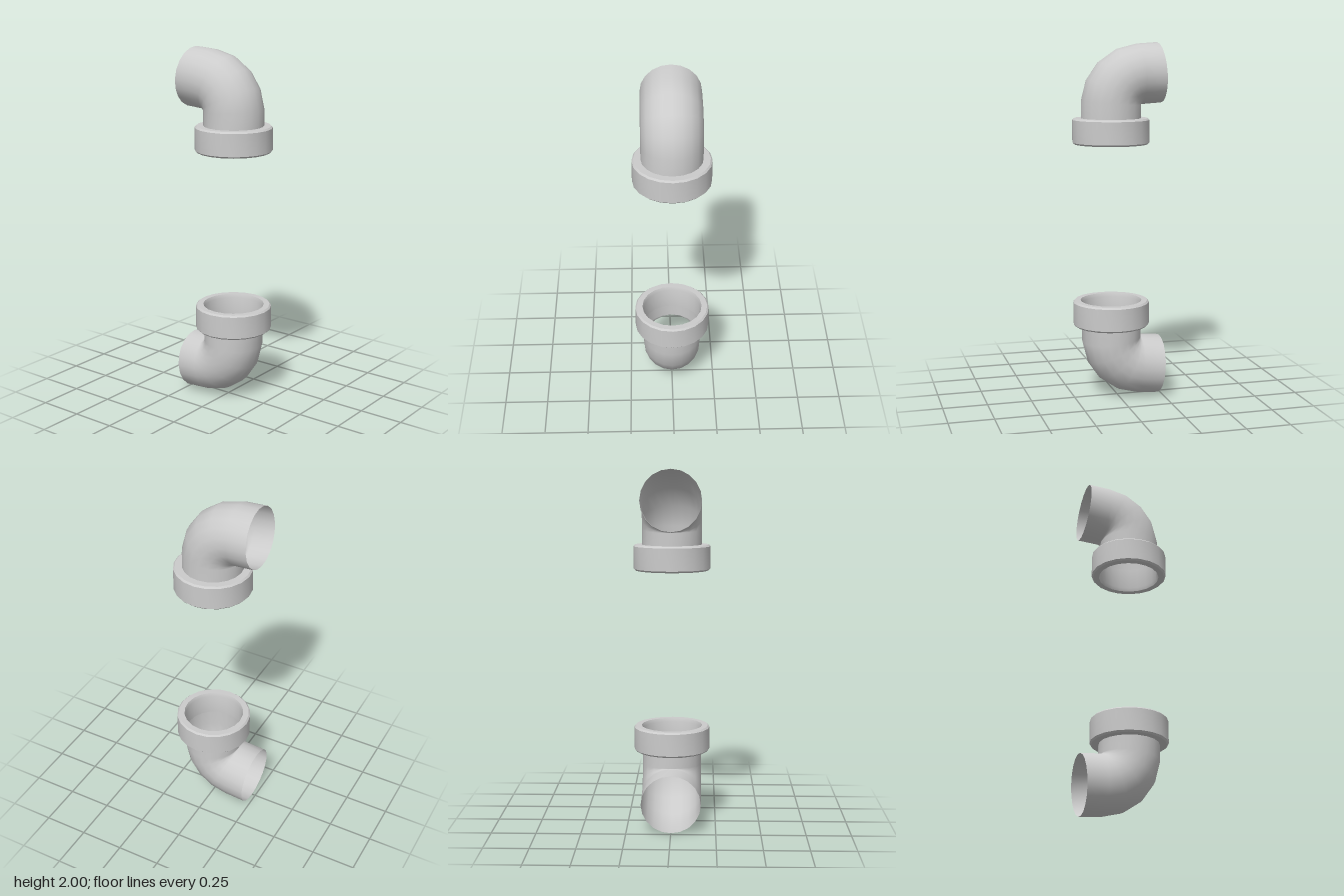
import * as THREE from 'three';
import { toCreasedNormals } from 'three/addons/utils/BufferGeometryUtils.js';

const SIDES = 20;
const PIPE_R = 0.167;
const BEND_R = 0.169;   // radius of the bend's centre line
const BEND_Y = 1.661;   // pivot of the bend
const BEND_Z = -0.134;
const AXIS_Z = BEND_Z + BEND_R;

// Thin pipe swept from rings: straight neck, tight bend, straight outlet
function pipeGeometry() {
  const rad = THREE.MathUtils.degToRad;
  const rings = [[0, -0.13]]; // [bend angle, offset along the pipe]
  for (const deg of [4, 24.5, 45, 65.5, 86]) rings.push([rad(deg), 0]);
  rings.push([rad(86), 0.118]);

  const pos = [], index = [];
  rings.forEach(([t, offset], i) => {
    for (let j = 0; j < SIDES; j++) {
      const a = (j / SIDES) * Math.PI * 2;
      const d = BEND_R + PIPE_R * Math.cos(a);
      pos.push(
        PIPE_R * Math.sin(a),
        BEND_Y + d * Math.sin(t) + offset * Math.cos(t),
        BEND_Z + d * Math.cos(t) - offset * Math.sin(t));
      if (i === 0) continue;
      const k = (j + 1) % SIDES, lo = (i - 1) * SIDES, hi = i * SIDES;
      index.push(lo + j, lo + k, hi + k, lo + j, hi + k, hi + j);
    }
  });
  const geo = new THREE.BufferGeometry();
  geo.setAttribute('position', new THREE.Float32BufferAttribute(pos, 3));
  geo.setIndex(index);
  geo.computeVertexNormals();
  return geo;
}

// Bevelled socket ring, a closed profile turned about the pipe's axis
function collarGeometry() {
  const y0 = 1.446, y1 = 1.589, R = 0.215, b = 0.009, inner = 0.166;
  const profile = [
    [inner, y0 + 0.02], [inner + 0.007, y0], [R - b, y0], [R, y0 + b],
    [R, y1 - b], [R - b, y1], [inner, y1], [inner, y0 + 0.02],
  ].map(([r, y]) => new THREE.Vector2(r, y));
  const geo = new THREE.LatheGeometry(profile, SIDES);
  geo.translate(0, 0, AXIS_Z);
  return toCreasedNormals(geo, 0.6);
}

export function createModel() {
  const model = new THREE.Group();
  model.name = 'pipeElbowPair';
  const material = new THREE.MeshStandardMaterial({ color: 0xcccccc, side: THREE.DoubleSide });
  const pipeGeo = pipeGeometry();
  const collarGeo = collarGeometry();

  const makeElbow = (name) => {
    const elbow = new THREE.Group();
    elbow.name = name;
    const pipe = new THREE.Mesh(pipeGeo, material);
    pipe.name = 'elbowPipe';
    const collar = new THREE.Mesh(collarGeo, material);
    collar.name = 'collar';
    elbow.add(pipe, collar);
    model.add(elbow);
    return elbow;
  };

  makeElbow('upperElbow');
  // Same elbow turned upside down
  const lower = makeElbow('lowerElbow');
  lower.rotation.z = Math.PI;
  lower.position.y = 2.006;
  return model;
}
